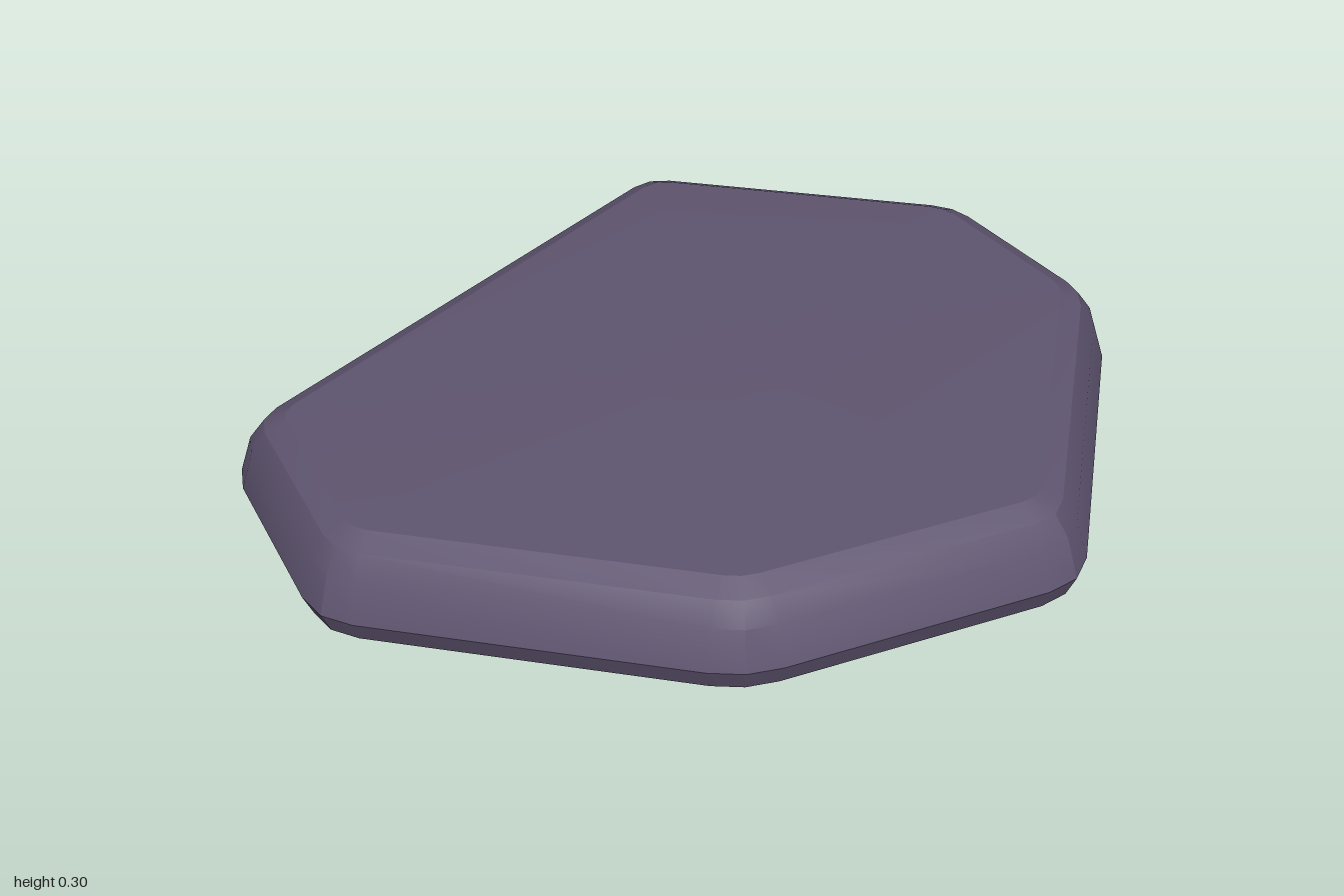
import * as THREE from 'three';
import { toCreasedNormals } from 'three/addons/utils/BufferGeometryUtils.js';

// Seven-sided outline as [x, z], before the corners are rounded
const OUTLINE = [
  [-0.665, -0.797], [0.2, -1.018], [0.685, -0.74], [0.96, 0.19],
  [0.44, 0.78], [-0.47, 1.013], [-0.96, 0.65],
].map(([x, z]) => new THREE.Vector2(x, z));

// Edge cross-section from the underside up: [inset, height]
const PROFILE = [
  [0.12, 0.021], [0.055, 0.033], [0.022, 0.055], [0, 0.11],
  [0.03, 0.205], [0.065, 0.255], [0.115, 0.28],
];
const TILT = 0.019;

// Move every side of the outline inward by the same distance
function insetOutline(points, d) {
  const n = points.length;
  const inward = points.map((p, i) => {
    const e = points[(i + 1) % n].clone().sub(p).normalize();
    return new THREE.Vector2(-e.y, e.x);
  });
  return points.map((p, i) => {
    const a = inward[(i + n - 1) % n], b = inward[i];
    return a.clone().add(b).multiplyScalar(d / (1 + a.dot(b))).add(p);
  });
}

// Replace each corner by a short three-point curve
function roundCorners(points, cut) {
  const n = points.length;
  return points.flatMap((p, i) => {
    const toward = (q) => q.clone().sub(p).setLength(cut).add(p);
    const curve = new THREE.QuadraticBezierCurve(
      toward(points[(i + n - 1) % n]), p, toward(points[(i + 1) % n]));
    return curve.getPoints(2);
  });
}

function stoneGeometry() {
  const positions = [], index = [];
  let n = 0;
  for (const [inset, y] of PROFILE) {
    const ring = roundCorners(insetOutline(OUTLINE, inset), 0.085 - 0.4 * inset);
    n = ring.length;
    for (const p of ring) positions.push(p.x, y + TILT * p.x, p.y);
  }
  const last = (PROFILE.length - 1) * n;
  const bottom = PROFILE.length * n, top = bottom + 1;
  positions.push(0, 0.021, 0, 0.02, 0.31, 0.02);

  for (let i = 0; i < n; i++) {
    const k = (i + 1) % n;
    for (let r = 0; r < last; r += n) {
      const a = r + i, b = r + k, c = b + n, d = a + n;
      index.push(a, d, c, a, c, b);
    }
    index.push(bottom, i, k, top, last + k, last + i);
  }
  const geometry = new THREE.BufferGeometry();
  geometry.setAttribute('position', new THREE.Float32BufferAttribute(positions, 3));
  geometry.setIndex(index);
  return toCreasedNormals(geometry, 0.4);
}

export function createModel() {
  const group = new THREE.Group();
  group.name = 'flatStone';
  const material = new THREE.MeshStandardMaterial({ color: 0x5f5570 });
  material.name = 'purple grey stone';
  const slab = new THREE.Mesh(stoneGeometry(), material);
  slab.name = 'stoneSlab';
  group.add(slab);
  return group;
}
